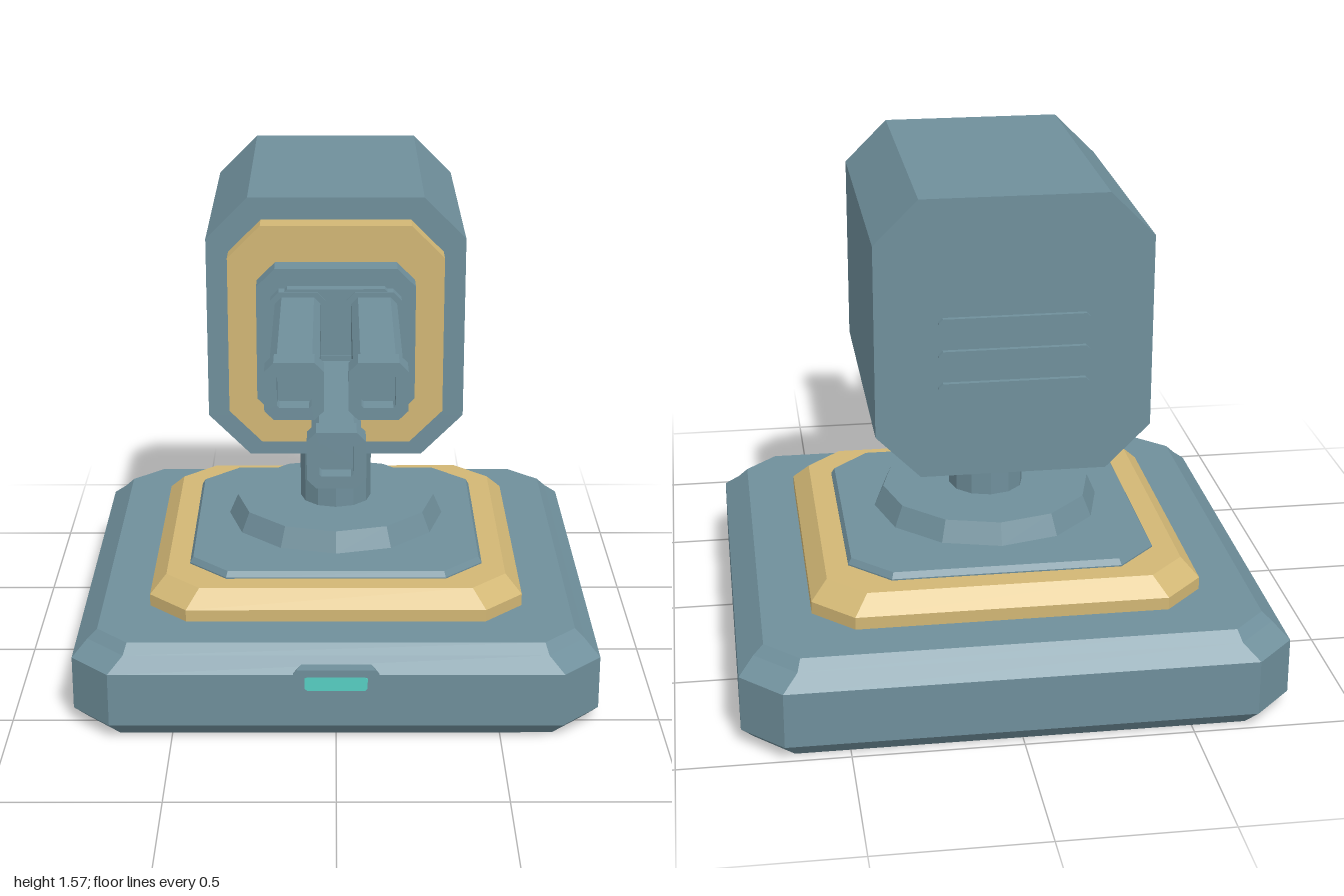
import * as THREE from 'three';

const mat = (name, color) => {
  const m = new THREE.MeshStandardMaterial({ color });
  m.name = name;
  return m;
};

// Eight corners of a rectangle with cut corners, counter-clockwise
const octagon = (hx, hy, c) => [
  [hx, -hy + c], [hx, hy - c], [hx - c, hy], [-hx + c, hy],
  [-hx, hy - c], [-hx, -hy + c], [-hx + c, -hy], [hx - c, -hy],
];

// Solid through rings [halfX, halfY, cornerCut, z], listed from low z to high z
function loft(rings) {
  const loops = rings.map(([hx, hy, c, z]) => octagon(hx, hy, c).map(([x, y]) => [x, y, z]));
  const pos = [];
  const tri = (a, b, c) => pos.push(...a, ...b, ...c);
  for (let r = 0; r < loops.length - 1; r++) {
    for (let i = 0; i < 8; i++) {
      const j = (i + 1) % 8, lo = loops[r], hi = loops[r + 1];
      tri(lo[i], lo[j], hi[j]);
      tri(lo[i], hi[j], hi[i]);
    }
  }
  const first = loops[0], last = loops[loops.length - 1];
  for (let i = 1; i < 7; i++) {
    tri(first[0], first[i + 1], first[i]);
    tri(last[0], last[i], last[i + 1]);
  }
  const g = new THREE.BufferGeometry();
  g.setAttribute('position', new THREE.Float32BufferAttribute(pos, 3));
  g.computeVertexNormals();
  return g;
}

const prism = (hx, hy, cut, z0, z1) => loft([[hx, hy, cut, z0], [hx, hy, cut, z1]]);

export function createModel() {
  const steel = mat('blue grey steel', 0x6f8f9b);
  const sand = mat('sand yellow', 0xd2b775);
  const glow = mat('turquoise light', 0x57cfc3);
  steel.flatShading = sand.flatShading = glow.flatShading = true;

  const model = new THREE.Group();
  const add = (name, geometry, material, x = 0, y = 0, z = 0, parent = model) => {
    const mesh = new THREE.Mesh(geometry, material);
    mesh.name = name;
    mesh.position.set(x, y, z);
    parent.add(mesh);
    return mesh;
  };

  // Stepped base; rings are [half width, corner cut, height]
  const baseZ = -0.19;
  const slab = (name, rings, material) =>
    add(name, loft(rings.map(([h, c, y]) => [h, h, c, y])).rotateX(-Math.PI / 2), material, 0, 0, baseZ);
  slab('base', [[0.77, 0.11, 0], [0.81, 0.12, 0.045], [0.81, 0.12, 0.215],
    [0.765, 0.12, 0.258], [0.735, 0.1, 0.287]], steel);
  slab('basePlate', [[0.585, 0.12, 0.28], [0.585, 0.12, 0.325], [0.535, 0.11, 0.378]], sand);
  slab('topPlate', [[0.465, 0.12, 0.37], [0.465, 0.12, 0.382], [0.455, 0.115, 0.4]], steel);

  // Status light under a small hood
  add('statusLight', prism(0.095, 0.023, 0.008, 0.6, 0.637), glow, 0, 0.193, 0);
  add('lightHood', loft([[0.105, 0.012, 0.008, 0.57], [0.13, 0.012, 0.01, 0.637]]), steel, 0, 0.226, 0);

  // Swivel disc and post
  add('swivelDisc', new THREE.CylinderGeometry(0.325, 0.353, 0.065, 12), steel, 0, 0.4475, baseZ);
  add('post', new THREE.CylinderGeometry(0.116, 0.116, 0.32, 12), steel, 0, 0.62, baseZ);

  // Head with stepped front plates
  const head = new THREE.Group();
  head.name = 'head';
  head.position.y = 1.16;
  model.add(head);
  const onHead = (name, geometry, material, x = 0, y = 0, z = 0) => add(name, geometry, material, x, y, z, head);
  onHead('housing', prism(0.395, 0.41, 0.128, -0.755, 0.147), steel);
  onHead('frontPlate', prism(0.327, 0.342, 0.1, 0.14, 0.223), sand);
  onHead('barrelBlock', prism(0.238, 0.23, 0.055, 0.21, 0.3), steel);
  onHead('barrelMount', prism(0.19, 0.178, 0.045, 0.29, 0.335), steel);

  // Three barrels with collars and hollow square muzzles
  const muzzleShape = new THREE.Shape(octagon(0.08, 0.08, 0.025).map(p => new THREE.Vector2(...p)));
  muzzleShape.holes.push(new THREE.Path(octagon(0.046, 0.046, 0.006).reverse().map(p => new THREE.Vector2(...p))));
  const muzzle = new THREE.ExtrudeGeometry(muzzleShape, { depth: 0.08, bevelEnabled: false });
  const collar = prism(0.082, 0.085, 0.025, 0.29, 0.342);
  const barrel = prism(0.068, 0.07, 0.02, 0.33, 0.945);
  for (const [x, y] of [[-0.113, 0.085], [0.113, 0.085], [0, -0.112]]) {
    onHead('barrelCollar', collar, steel, x, y);
    onHead('barrel', barrel, steel, x, y);
    onHead('muzzle', muzzle, steel, x, y, 0.92);
  }

  // Raised vent bars on the back
  const vent = prism(0.215, 0.015, 0.012, -0.77, -0.75);
  for (const y of [0.052, -0.044, -0.14]) onHead('ventBar', vent, steel, 0, y);

  return model;
}
